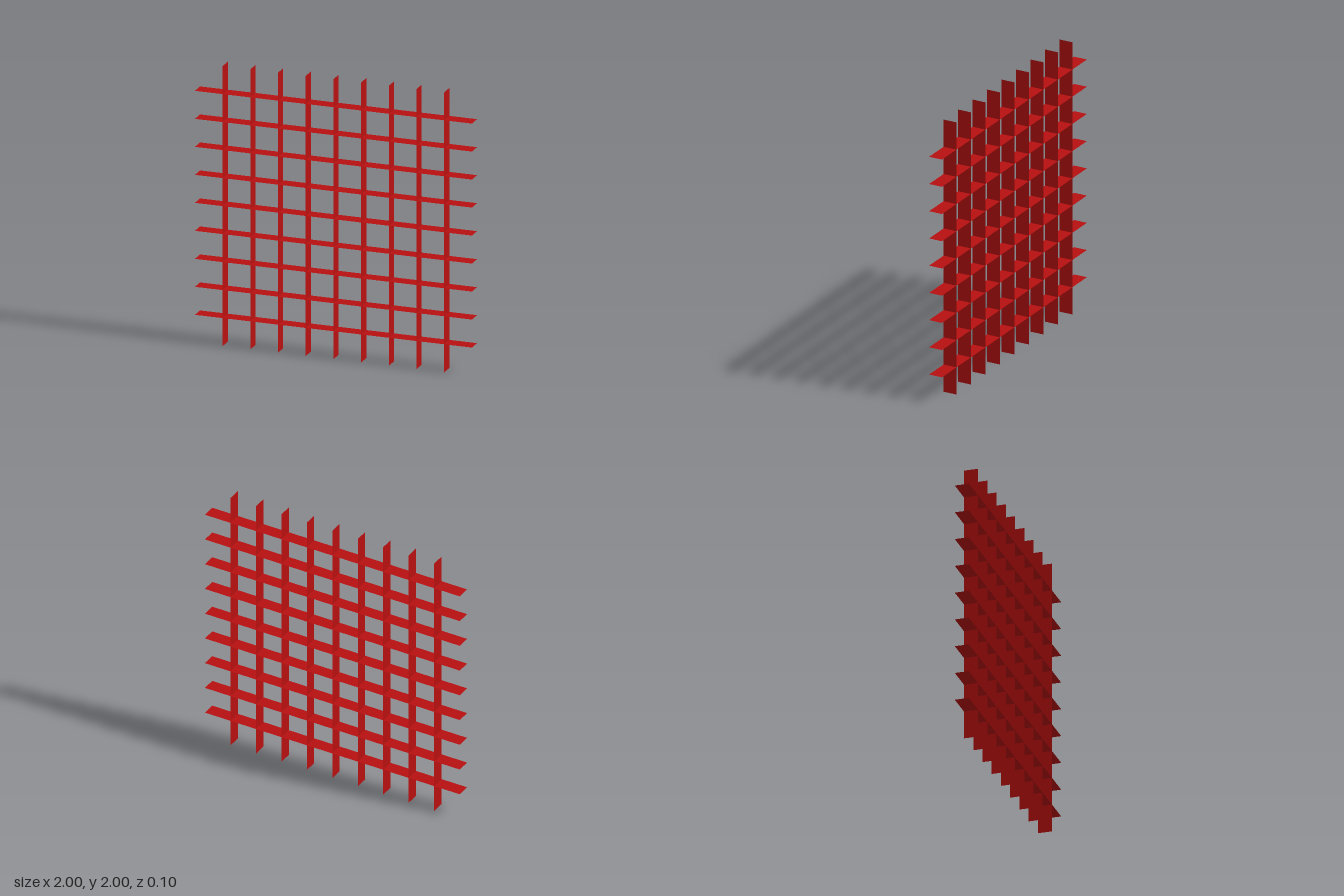
import * as THREE from 'three';

// A square lattice of paper-thin slats, all standing edge-on to the front.
export function createModel() {
  const count = 9, spacing = 0.2, length = 2, depth = 0.1;
  const lattice = new THREE.Group();
  lattice.name = 'lattice';
  const material = new THREE.MeshStandardMaterial({ color: 0xb81010, side: THREE.DoubleSide });

  // Flat strips: one lies level along x, the other stands upright along y
  const levelStrip = new THREE.PlaneGeometry(length, depth).rotateX(-Math.PI / 2);
  const uprightStrip = new THREE.PlaneGeometry(depth, length).rotateY(Math.PI / 2);

  const addSlat = (name, geometry, x, y) => {
    const slat = new THREE.Mesh(geometry, material);
    slat.name = name;
    slat.position.set(x, y, 0);
    lattice.add(slat);
  };

  for (let i = 0; i < count; i++) {
    const offset = (i - (count - 1) / 2) * spacing;
    addSlat(`horizontalSlat${i + 1}`, levelStrip, 0, length / 2 + offset);
    addSlat(`verticalSlat${i + 1}`, uprightStrip, offset, length / 2);
  }
  return lattice;
}
